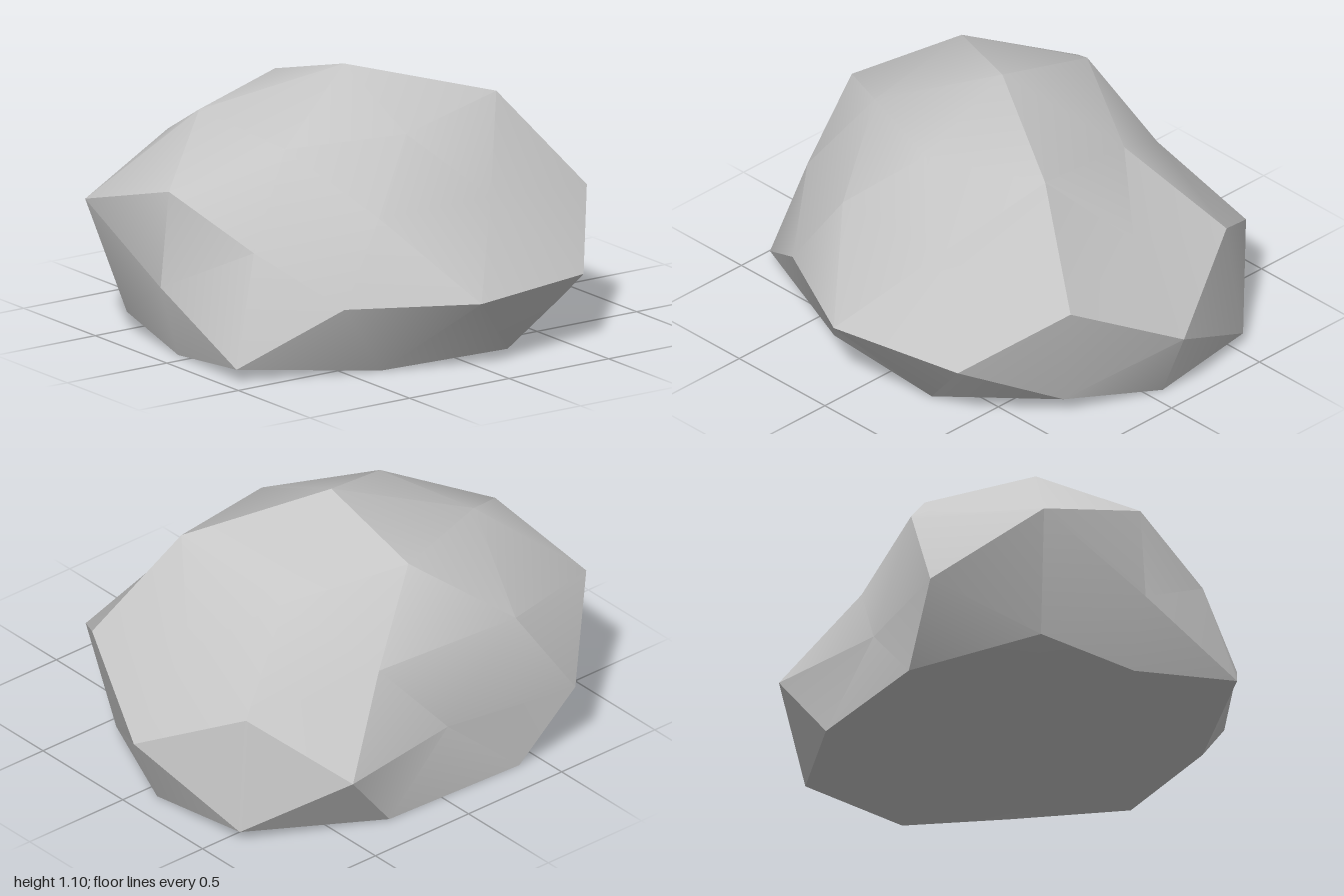
import * as THREE from 'three';
import { toCreasedNormals } from 'three/addons/utils/BufferGeometryUtils.js';

// Boulder centre and stretch
const CENTRE = new THREE.Vector3(-0.06, 0.3, -0.07);
const STRETCH = new THREE.Vector3(1.1, 0.81, 0.952);

// Radius of each sphere vertex, keyed by direction in tenths "|x|,y,|z|";
// the four values are for the quadrants (+x+z, +x-z, -x+z, -x-z).
const RADII = {
  // crown
  '0,10,0': [0.985],
  '0,9,5': [0.87, 0.965],
  '5,8,3': [1.005, 0.835, 0.875, 0.955],
  // shoulders
  '9,5,0': [0.82, 0, 0.94],
  '3,5,8': [0.825, 0.8, 0.825, 0.99],
  '8,3,5': [0.99, 0.95, 0.826, 1.055],
  // widest ring
  '10,0,0': [0.964, 0, 0.837],
  '0,0,10': [1.01, 0.767],
  '5,0,9': [1.037, 1.01, 0.87, 1.03],
  // foot
  '8,-3,5': [0.89, 1.02, 0.985, 0.885],
  '9,-5,0': [1.0, 0, 0.89],
  '3,-5,8': [0.92, 0.975, 0.87, 1.01],
};

function radiusAt(d) {
  const tenth = (v) => Math.round(v * 10) + 0;
  const key = [tenth(Math.abs(d.x)), tenth(d.y), tenth(Math.abs(d.z))].join(',');
  const quadrant = (d.x < -0.01 ? 2 : 0) + (d.z < -0.01 ? 1 : 0);
  return RADII[key]?.[quadrant] || 0.9;
}

export function createModel() {
  const group = new THREE.Group();
  group.name = 'boulder';

  const stone = new THREE.MeshStandardMaterial({ color: 0xc5c5c5 });
  stone.name = 'stone grey';

  // Faceted sphere, pushed in and out, then flattened where it meets the ground
  const geometry = new THREE.IcosahedronGeometry(1, 1);
  geometry.rotateY(Math.PI / 2);
  geometry.deleteAttribute('uv');
  const position = geometry.attributes.position;
  const p = new THREE.Vector3();
  for (let i = 0; i < position.count; i++) {
    p.fromBufferAttribute(position, i);
    p.multiplyScalar(radiusAt(p)).multiply(STRETCH).add(CENTRE);
    position.setXYZ(i, p.x, Math.max(0, p.y), p.z);
  }

  // Soft shading inside the broad faces, sharp ridges between them
  const rock = new THREE.Mesh(toCreasedNormals(geometry, Math.PI / 6), stone);
  rock.name = 'rock';
  group.add(rock);
  return group;
}
